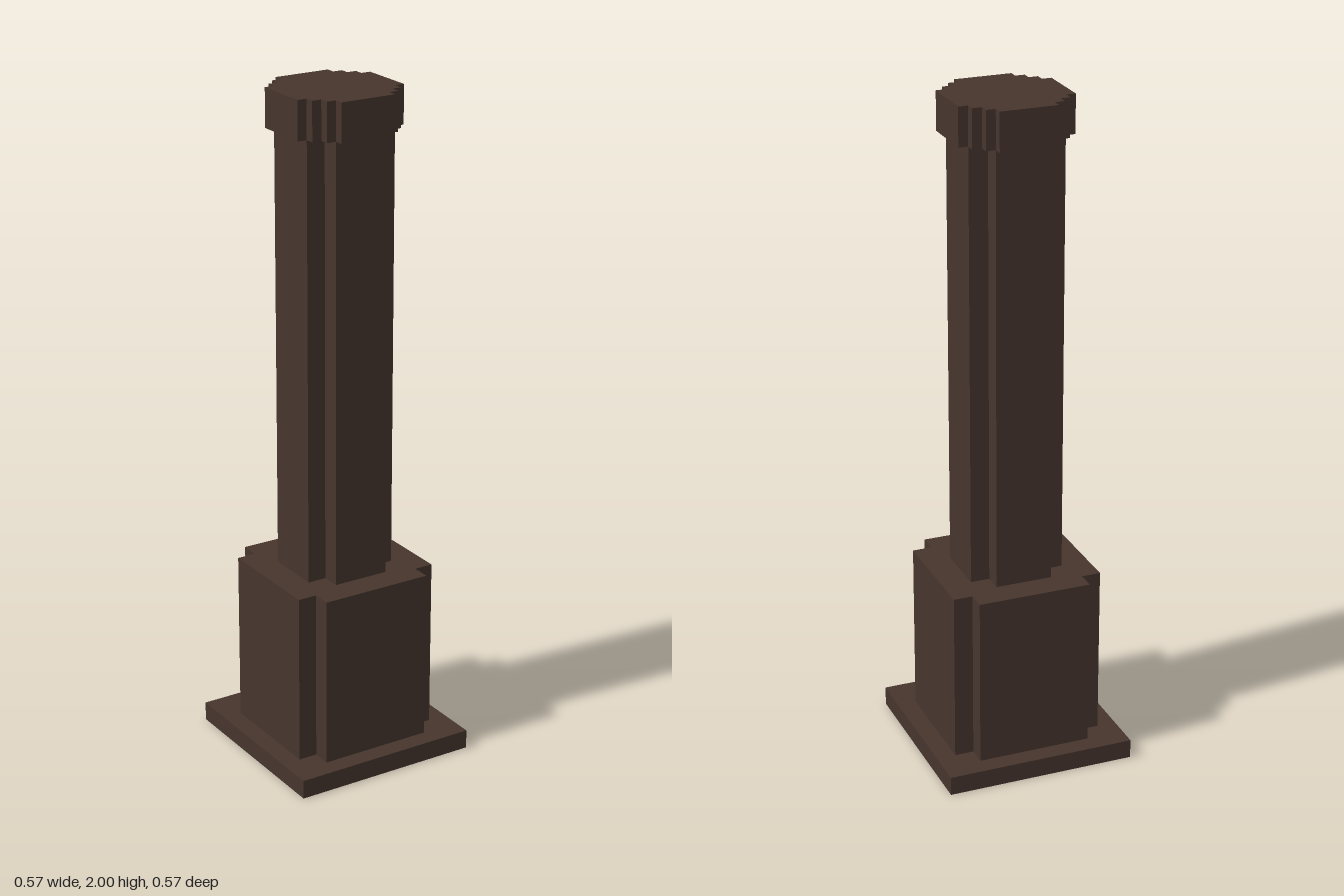
import * as THREE from 'three';

const U = 2 / 70; // block unit

// Stepped outline from the corner points of one quadrant, mirrored around the axis.
// Each step is an outer corner [x, z]; inner corners are filled in between.
function steppedShape(steps) {
  const quadrant = [];
  steps.forEach(([x, z], i) => {
    if (i > 0) quadrant.push([x, steps[i - 1][1]]);
    quadrant.push([x, z]);
  });
  const points = [];
  for (let q = 0; q < 4; q++) {
    for (const [x, z] of quadrant) {
      const [a, b] = [[x, z], [-z, x], [-x, -z], [z, -x]][q];
      points.push(new THREE.Vector2(a * U, b * U));
    }
  }
  return new THREE.Shape(points);
}

export function createModel() {
  const group = new THREE.Group();
  group.name = 'pillar';
  const darkWood = new THREE.MeshStandardMaterial({ color: 0x46352d });
  darkWood.name = 'dark brown';

  // Name, bottom and top in units, outline steps
  const parts = [
    ['basePlate', 0, 2, [[10, 10]]],
    ['pedestal', 2, 20, [[8, 6], [6, 8]]],
    ['shaft', 20, 66, [[5, 3], [3, 5]]],
    ['capital', 66, 70, [[6, 3], [5, 4], [4, 5], [3, 6]]],
  ];
  for (const [name, bottom, top, steps] of parts) {
    const geometry = new THREE.ExtrudeGeometry(steppedShape(steps), {
      depth: (top - bottom) * U,
      bevelEnabled: false,
    });
    geometry.rotateX(-Math.PI / 2);
    geometry.translate(0, bottom * U, 0);
    const mesh = new THREE.Mesh(geometry, darkWood);
    mesh.name = name;
    group.add(mesh);
  }
  return group;
}
